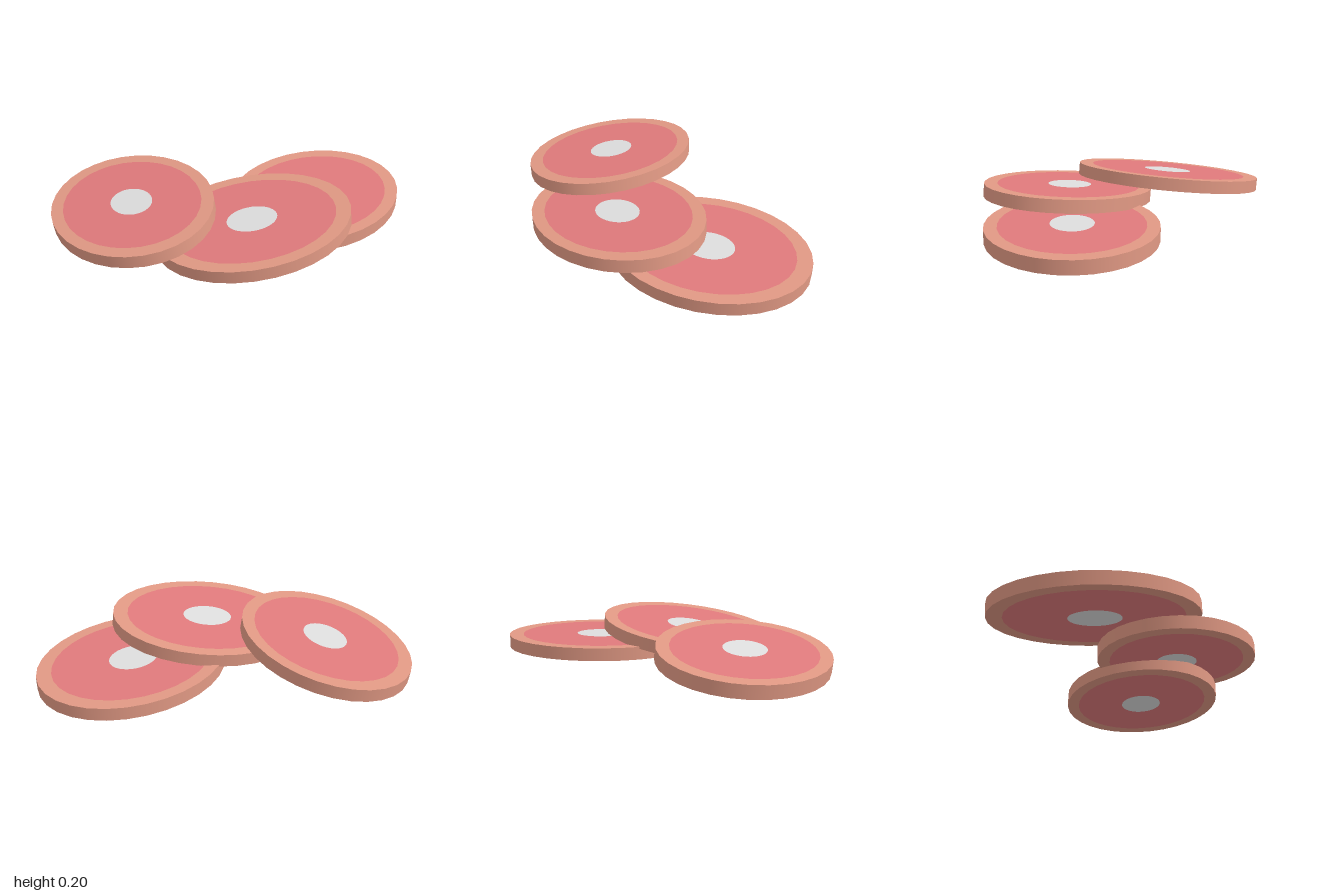
import * as THREE from 'three';

const A = 0.537, B = 0.437;      // half axes of a slice
const THICK = 0.07, SIDES = 32;
const MEAT = 0.85, BONE = 0.257; // size of inner areas relative to the slice

const mat = (name, color) => {
  const m = new THREE.MeshStandardMaterial({ color });
  m.name = name;
  return m;
};

export function createModel() {
  const fat = mat('fat rim', 0xe19984);
  const meat = mat('red meat', 0xe07a7c);
  const bone = mat('bone', 0xdedede);

  const add = (parent, name, geometry, material) => {
    const mesh = new THREE.Mesh(geometry, material);
    mesh.name = name;
    parent.add(mesh);
  };

  // Flat band between two scaled ellipses, on the upper (1) or lower (-1) face
  const face = (inner, outer, side) => {
    const g = inner > 0
      ? new THREE.RingGeometry(inner, outer, SIDES)
      : new THREE.CircleGeometry(outer, SIDES);
    return g.rotateX(-side * Math.PI / 2).scale(A, 1, B).translate(0, side * THICK / 2, 0);
  };

  const makeSlice = (name) => {
    const slice = new THREE.Group();
    slice.name = name;
    const wall = new THREE.CylinderGeometry(1, 1, THICK, SIDES, 1, true);
    add(slice, 'outerWall', wall.rotateY(Math.PI / 2).scale(A, 1, B), fat);
    for (const [label, side] of [['upper', 1], ['lower', -1]]) {
      add(slice, label + 'FatRim', face(MEAT, 1, side), fat);
      add(slice, label + 'Meat', face(BONE, MEAT, side), meat);
      add(slice, label + 'Bone', face(0, BONE, side), bone);
    }
    return slice;
  };

  // Three overlapping slices: position, turn and tilt in degrees
  const model = new THREE.Group();
  model.name = 'meatSlices';
  for (const [name, x, y, z, turn, tilt] of [
    ['leftSlice', 0.5, 0.041, -0.15, 39, 0],
    ['middleSlice', 0.1, 0.107, 0.187, 8, 6.6],
    ['rightSlice', -0.544, 0.099, -0.055, 116, 8],
  ]) {
    const slice = makeSlice(name);
    slice.position.set(x, y, z);
    slice.rotation.set(0, THREE.MathUtils.degToRad(turn), THREE.MathUtils.degToRad(tilt), 'ZYX');
    model.add(slice);
  }
  return model;
}
